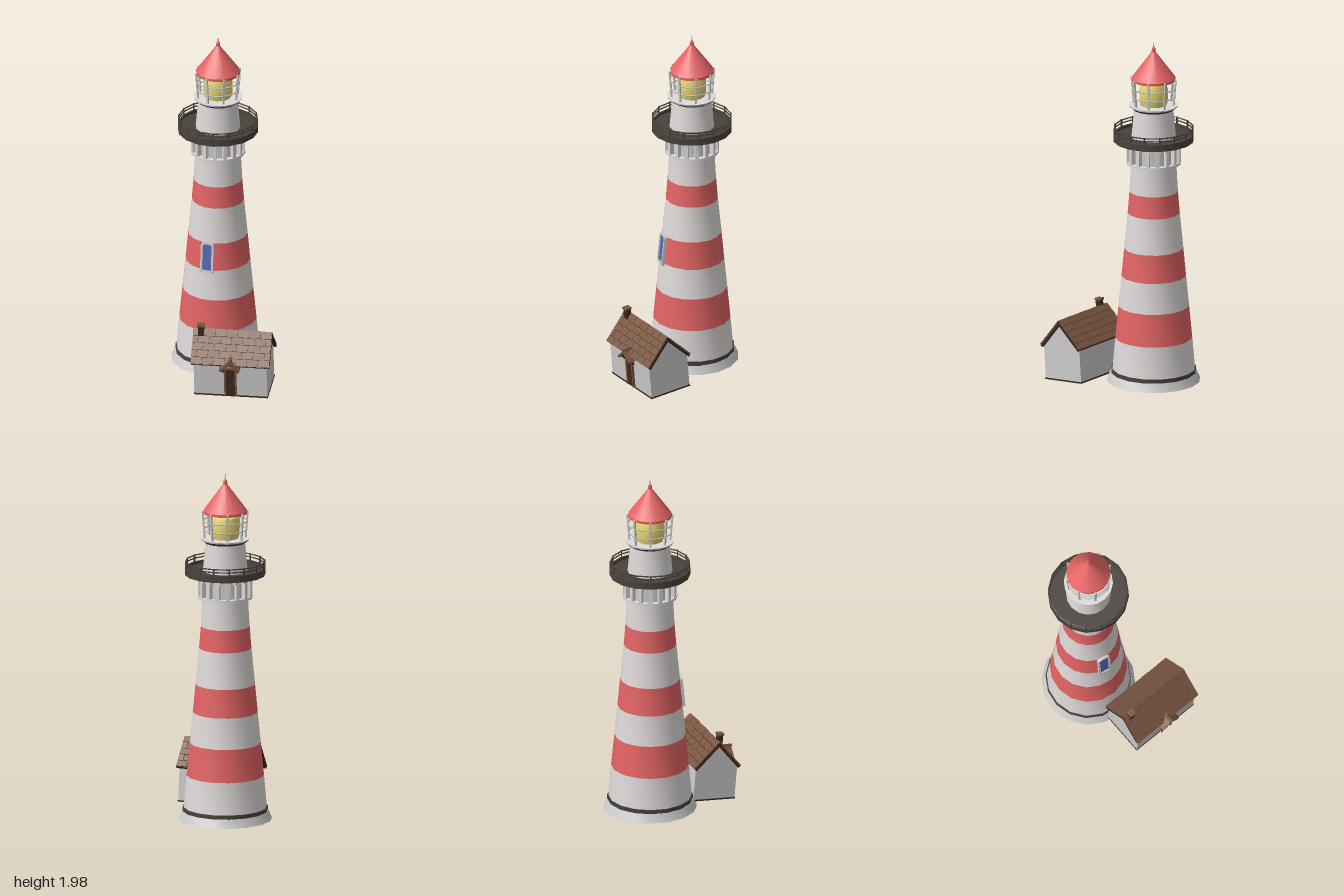
import * as THREE from 'three';
import { toCreasedNormals } from 'three/addons/utils/BufferGeometryUtils.js';

const mat = (color) => new THREE.MeshStandardMaterial({ color, side: THREE.DoubleSide });
const M = {
  white: mat(0xe0dada), grey: mat(0xcccccc), red: mat(0xe46464), dark: mat(0x4a423c),
  lamp: mat(0xe6d672), pane: mat(0x5566b4), roof: mat(0x7a5540), wood: mat(0x3c291d),
};
const SIDES = 16;

function add(parent, name, geo, material, x = 0, y = 0, z = 0) {
  const mesh = new THREE.Mesh(geo, material);
  mesh.name = name;
  mesh.position.set(x, y, z);
  parent.add(mesh);
  return mesh;
}

// Turned part: smooth around the axis, sharp along the profile
function turned(parent, name, profile, material) {
  const pts = profile.map(([r, y]) => new THREE.Vector2(r, y));
  return add(parent, name, toCreasedNormals(new THREE.LatheGeometry(pts, SIDES), 0.5), material);
}

function hoop(parent, name, radius, thick, y, material) {
  return add(parent, name, new THREE.TorusGeometry(radius, thick, 5, SIDES).rotateX(Math.PI / 2), material, 0, y, 0);
}

// Thin bar between two points
function bar(parent, name, a, b, thick, material) {
  const mesh = add(parent, name, new THREE.BoxGeometry(thick, thick, a.distanceTo(b)), material);
  mesh.position.copy(a).lerp(b, 0.5);
  mesh.lookAt(b);
  return mesh;
}
const polar = (r, y, a) => new THREE.Vector3(r * Math.sin(a), y, r * Math.cos(a));

function arch(w, h) {
  const s = new THREE.Shape();
  s.moveTo(-w / 2, 0).lineTo(w / 2, 0).lineTo(w / 2, h - w * 0.25);
  s.quadraticCurveTo(w / 2, h, 0, h).quadraticCurveTo(-w / 2, h, -w / 2, h - w * 0.25);
  s.closePath();
  return s;
}

function buildTower() {
  const t = new THREE.Group();
  t.name = 'tower';
  turned(t, 'foot', [[0, 0.015], [0.261, 0.015], [0.24, 0.062], [0, 0.062]], M.grey);
  turned(t, 'footRing', [[0.225, 0.062], [0.238, 0.062], [0.238, 0.084], [0.225, 0.084]], M.dark);

  // Striped shaft
  const shaft = [[0.232, 0.08], [0.216, 0.265], [0.198, 0.45], [0.181, 0.625], [0.166, 0.785],
    [0.146, 0.99], [0.136, 1.115], [0.127, 1.28]];
  for (let i = 0; i < shaft.length - 1; i++)
    turned(t, i % 2 ? 'redBand' : 'whiteBand', [shaft[i], shaft[i + 1]], i % 2 ? M.red : M.white);

  // Arcade under the gallery
  turned(t, 'arcadeWall', [[0.127, 1.28], [0.127, 1.41]], M.grey);
  turned(t, 'arcadeSill', [[0.12, 1.27], [0.153, 1.275], [0.153, 1.29], [0.12, 1.29]], M.white);
  turned(t, 'arcadeLintel', [[0.12, 1.39], [0.153, 1.39], [0.156, 1.412], [0.12, 1.412]], M.white);
  for (let i = 0; i < SIDES; i++) {
    const a = (i / SIDES) * Math.PI * 2;
    const pillar = add(t, 'arcadePillar', new THREE.BoxGeometry(0.02, 0.11, 0.028), M.white);
    pillar.position.copy(polar(0.137, 1.34, a));
    pillar.rotation.y = a;
    const head = add(t, 'arcadePillarHead', new THREE.BoxGeometry(0.036, 0.018, 0.026), M.white);
    head.position.copy(polar(0.137, 1.385, a));
    head.rotation.y = a;
  }

  // Gallery deck and railing
  turned(t, 'galleryDeck', [[0.1, 1.408], [0.225, 1.408], [0.225, 1.447], [0.215, 1.447],
    [0.215, 1.43], [0.1, 1.43]], M.dark);
  for (const y of [1.466, 1.483]) hoop(t, 'galleryRail', 0.22, 0.004, y, M.dark);
  for (let i = 0; i < SIDES; i++) {
    const a = (i / SIDES) * Math.PI * 2;
    bar(t, 'galleryPost', polar(0.22, 1.44, a), polar(0.22, 1.487, a), 0.007, M.dark);
  }

  // Lantern room
  turned(t, 'upperTower', [[0.126, 1.42], [0.11, 1.595]], M.white);
  turned(t, 'lanternSill', [[0.1, 1.59], [0.116, 1.592], [0.134, 1.607]], M.dark);
  turned(t, 'lanternFloor', [[0.134, 1.607], [0.137, 1.616], [0, 1.616]], M.white);
  turned(t, 'lamp', [[0.072, 1.612], [0.08, 1.64], [0.08, 1.705], [0.07, 1.735], [0.045, 1.75], [0, 1.755]], M.lamp);
  for (let i = 0; i < 8; i++) {
    const a = (i / 8) * Math.PI * 2;
    bar(t, 'lanternPost', polar(0.114, 1.612, a), polar(0.126, 1.77, a), 0.01, M.grey);
  }
  hoop(t, 'lanternHoop', 0.118, 0.004, 1.665, M.grey);
  hoop(t, 'lanternHoop', 0.122, 0.004, 1.715, M.grey);

  // Roof and finial
  turned(t, 'lanternRoof', [[0, 1.757], [0.122, 1.757], [0.122, 1.772], [0.012, 1.922], [0, 1.922]], M.red);
  turned(t, 'finial', [[0.008, 1.915], [0.012, 1.928], [0.009, 1.945], [0.003, 1.952], [0, 1.985]], M.red);

  // Arched window, leaning with the wall
  const win = new THREE.Group();
  win.name = 'window';
  const frame = arch(0.076, 0.18);
  const hole = arch(0.052, 0.154);
  frame.holes.push(new THREE.Path(hole.getPoints(6).map((p) => new THREE.Vector2(p.x, p.y + 0.013))));
  add(win, 'windowFrame', new THREE.ExtrudeGeometry(frame, { depth: 0.03, bevelEnabled: false, curveSegments: 6 }), M.grey, 0, 0, -0.018);
  add(win, 'windowPane', new THREE.ExtrudeGeometry(hole, { depth: 0.02, bevelEnabled: false, curveSegments: 6 }), M.pane, 0, 0.013, -0.015);
  win.position.copy(polar(0.182, 0.613, 0.175));
  win.rotation.set(-0.1, 0.175, 0, 'YXZ');
  t.add(win);
  return t;
}

// Pitched roof: two slabs sloping from a ridge along x
function gableRoof(parent, name, length, half, eaveY, ridgeY, thick, shingles) {
  const slope = Math.hypot(half, ridgeY - eaveY);
  for (const side of [1, -1]) {
    const g = new THREE.Group();
    g.name = name;
    g.position.y = ridgeY;
    g.rotation.set(Math.atan2(ridgeY - eaveY, half), side > 0 ? 0 : Math.PI, 0, 'YXZ');
    add(g, name + 'Slab', new THREE.BoxGeometry(length, thick, slope), shingles ? M.wood : M.roof, 0, -thick / 2 - 0.004, slope / 2);
    // Staggered rows of boards
    for (let r = 0; shingles && r < 5; r++) {
      const d = slope / 5, n = 7, w = length / n;
      for (let i = 0; i <= n; i++) {
        const x0 = Math.max(-length / 2, -length / 2 + (i - (r % 2) * 0.5) * w);
        const x1 = Math.min(length / 2, -length / 2 + (i + 1 - (r % 2) * 0.5) * w);
        if (x1 - x0 < 0.005) continue;
        const b = add(g, 'shingle', new THREE.BoxGeometry(x1 - x0 - 0.003, 0.008, d - 0.003), M.roof, (x0 + x1) / 2, 0, (r + 0.5) * d);
        b.rotation.x = -0.03 + 0.06 * ((i + r) % 2);
      }
    }
    parent.add(g);
  }
}

function buildCottage() {
  const c = new THREE.Group();
  c.name = 'cottage';
  const L = 0.41, D = 0.248;

  // Walls with gable ends
  const s = new THREE.Shape();
  s.moveTo(-D / 2, 0.004).lineTo(D / 2, 0.004).lineTo(D / 2, 0.195).lineTo(0, 0.325).lineTo(-D / 2, 0.195).closePath();
  const walls = new THREE.ExtrudeGeometry(s, { depth: L, bevelEnabled: false }).translate(0, 0, -L / 2).rotateY(Math.PI / 2);
  add(c, 'walls', walls, M.grey);
  add(c, 'floor', new THREE.BoxGeometry(L + 0.006, 0.008, D + 0.006), M.wood, 0, 0.002, 0);
  gableRoof(c, 'roof', 0.443, 0.138, 0.197, 0.347, 0.014, true);

  // Chimney
  add(c, 'chimney', new THREE.BoxGeometry(0.03, 0.1, 0.03), M.wood, -0.175, 0.335, 0.016);
  add(c, 'chimneyCap', new THREE.BoxGeometry(0.038, 0.012, 0.038), M.roof, -0.175, 0.38, 0.016);

  // Door with frame and handle
  add(c, 'door', new THREE.BoxGeometry(0.052, 0.165, 0.008), M.wood, 0, 0.088, D / 2 + 0.002);
  for (const sx of [-1, 1])
    add(c, 'doorPost', new THREE.BoxGeometry(0.009, 0.175, 0.018), M.roof, sx * 0.03, 0.092, D / 2 + 0.004);
  add(c, 'doorLintel', new THREE.BoxGeometry(0.069, 0.01, 0.018), M.roof, 0, 0.175, D / 2 + 0.004);
  add(c, 'doorHandle', new THREE.SphereGeometry(0.004, 8, 6), M.dark, 0.017, 0.085, D / 2 + 0.008);

  // Small porch roof over the door
  const porch = new THREE.Group();
  porch.name = 'porch';
  gableRoof(porch, 'porchRoof', 0.09, 0.061, 0.182, 0.236, 0.012, false);
  add(porch, 'porchRidge', new THREE.BoxGeometry(0.094, 0.01, 0.012), M.roof, 0, 0.233, 0);
  porch.rotation.y = Math.PI / 2;
  porch.position.z = 0.122;
  c.add(porch);
  for (const sx of [-1, 1])
    bar(c, 'porchBrace', new THREE.Vector3(sx * 0.042, 0.15, D / 2), new THREE.Vector3(sx * 0.042, 0.19, 0.16), 0.009, M.wood);

  c.position.set(0.132, 0.02, 0.162);
  c.rotation.set(0.08, 0.365, 0.012, 'YXZ');
  return c;
}

export function createModel() {
  const model = new THREE.Group();
  model.name = 'lighthouse';
  const tower = buildTower();
  tower.position.set(-0.134, 0, -0.121);
  model.add(tower, buildCottage());
  return model;
}
